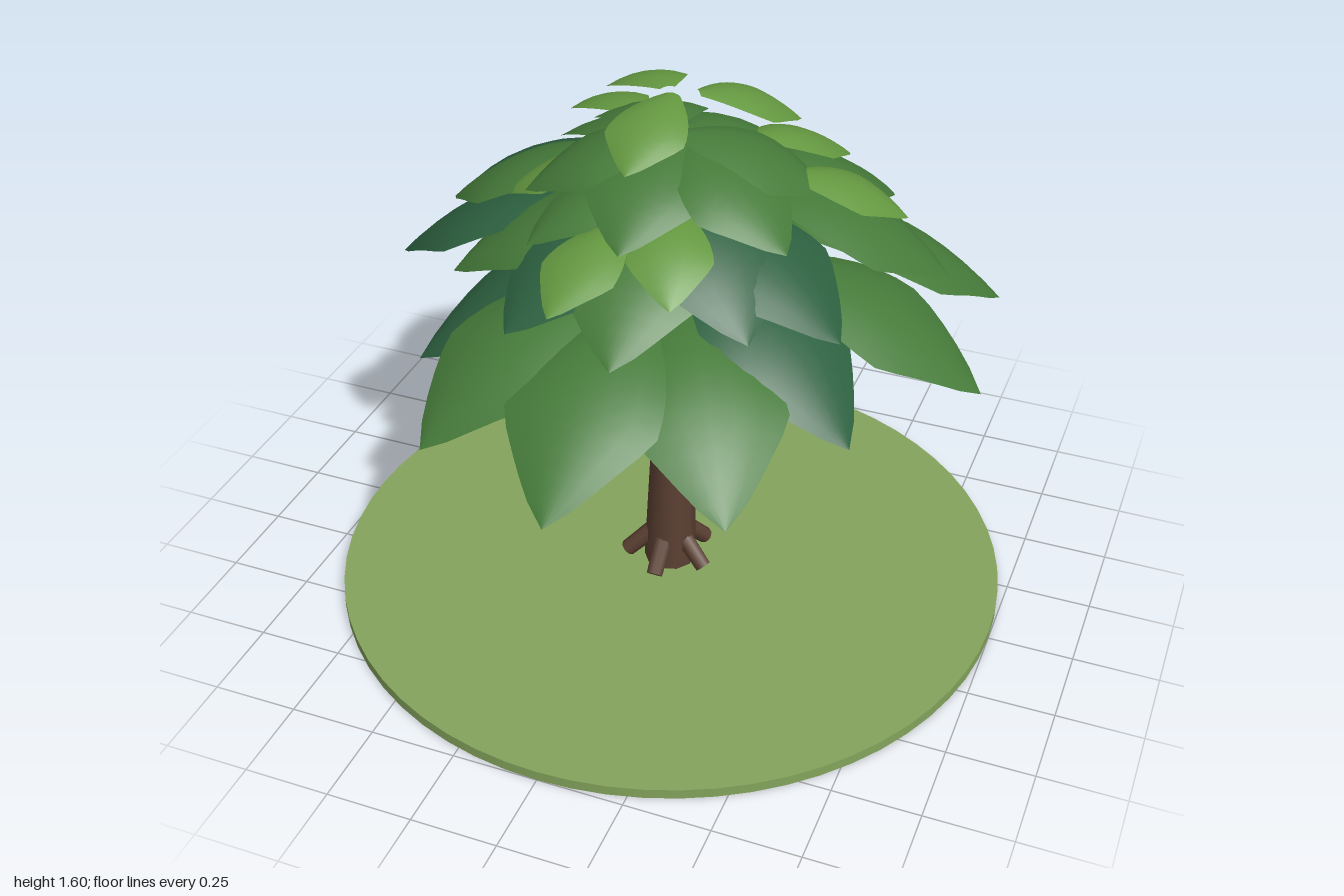
import * as THREE from 'three';

const material = (name, color, side = THREE.FrontSide) =>
  new THREE.MeshStandardMaterial({ name, color, side });

// Grid surface: pointed leaf, arched along its length and drooping at both sides
function leafGeometry(length, halfWidth, drop) {
  const rows = 12, cols = 6, pos = [], index = [];
  const arch = new THREE.QuadraticBezierCurve(
    new THREE.Vector2(0, drop),
    new THREE.Vector2(length * 0.55, drop + length * 0.06),
    new THREE.Vector2(length, 0));
  for (let i = 0; i <= rows; i++) {
    const u = i / rows, p = arch.getPoint(u);
    // round base, widest at 60 %, nearly straight edges to the tip
    const w = halfWidth * (u < 0.6
      ? Math.sin((0.12 + 0.88 * u / 0.6) * Math.PI / 2)
      : Math.pow((1 - u) / 0.4, 0.8));
    for (let j = 0; j <= cols; j++) {
      const v = j / cols * 2 - 1;
      pos.push(v * w, p.y - 0.25 * w * v * v, p.x);
    }
  }
  const n = cols + 1;
  for (let i = 0; i < rows; i++) for (let j = 0; j < cols; j++) {
    const a = i * n + j;
    index.push(a, a + n, a + 1, a + 1, a + n, a + n + 1);
  }
  const g = new THREE.BufferGeometry();
  g.setAttribute('position', new THREE.Float32BufferAttribute(pos, 3));
  g.setIndex(index);
  g.computeVertexNormals();
  return g;
}

// Tapered cylinder between two points
function limb(name, from, to, r0, r1, mat, sides = 8) {
  const a = new THREE.Vector3(...from), b = new THREE.Vector3(...to);
  const dir = b.clone().sub(a);
  const mesh = new THREE.Mesh(new THREE.CylinderGeometry(r1, r0, dir.length(), sides), mat);
  mesh.position.copy(a).add(b).multiplyScalar(0.5);
  mesh.quaternion.setFromUnitVectors(new THREE.Vector3(0, 1, 0), dir.normalize());
  mesh.name = name;
  return mesh;
}

// Leaf tiers from bottom to top; each leaf is [tip x, tip z, tip y, shade]
const D = 0, M = 1, L = 2;
const TIERS = [
  { name: 'skirtLeaf', length: 0.64, half: 0.215, drop: 0.3, leaves: [
    [0, 0.9, 0.78, M], [0.43, 0.73, 0.77, M], [-0.43, 0.73, 0.8, M],
    [0.64, 0.36, 0.83, D], [-0.62, 0.36, 0.82, D], [0.9, -0.02, 0.83, M],
    [0.84, -0.49, 0.86, M], [-0.85, 0, 0.93, D], [-0.79, -0.47, 0.95, D],
    [0.48, -0.78, 0.87, D], [-0.41, -0.73, 0.91, M], [0.05, -0.69, 0.9, M]] },
  { name: 'middleLeaf', length: 0.54, half: 0.2, drop: 0.24, leaves: [
    [-0.71, -0.08, 1.1, M], [0.56, 0.21, 1.05, D], [0.36, 0.38, 1.1, D],
    [-0.57, 0.22, 1.04, M], [-0.28, 0.5, 1.06, D], [0.05, 0.57, 1.06, M],
    [0.75, -0.2, 1.07, M], [0.47, -0.62, 1.07, M], [-0.42, -0.56, 1.13, M],
    [-0.02, -0.66, 1.05, D], [0.02, -0.5, 1.14, D]] },
  { name: 'upperLeaf', length: 0.34, half: 0.115, drop: 0.13, leaves: [
    [-0.13, 0.55, 1.17, L], [0.17, 0.45, 1.2, L], [0.62, -0.2, 1.23, L],
    [-0.42, -0.43, 1.29, L], [-0.46, 0.1, 1.25, L], [0.38, -0.44, 1.27, L],
    [-0.3, 0.3, 1.22, M]] },
  { name: 'crownLeaf', length: 0.42, half: 0.165, drop: 0.17, leaves: [
    [0, 0.38, 1.29, M], [0.4, 0.2, 1.28, M], [-0.37, 0.15, 1.3, M],
    [-0.25, -0.4, 1.3, M], [0.12, -0.44, 1.28, M], [0.42, -0.12, 1.3, M]] },
  { name: 'topLeaf', length: 0.29, half: 0.115, drop: 0.115, leaves: [
    [-0.02, 0.28, 1.47, L], [0.3, -0.21, 1.47, L], [-0.21, -0.24, 1.48, L]] },
];

export function createModel() {
  const tree = new THREE.Group();
  tree.name = 'tree';
  const grass = material('grass green', 0x84a45c);
  const bark = material('bark brown', 0x5c4033);
  const greens = [
    material('dark leaf green', 0x2d6140, THREE.DoubleSide),
    material('mid leaf green', 0x467b3a, THREE.DoubleSide),
    material('light leaf green', 0x649840, THREE.DoubleSide),
  ];

  // Ground disc
  const ground = new THREE.Mesh(new THREE.CylinderGeometry(1, 1, 0.03, 64), grass);
  ground.position.y = 0.015;
  ground.name = 'ground';
  tree.add(ground);

  // Slightly leaning trunk
  tree.add(limb('trunk', [0, 0.035, 0.01], [0.018, 0.69, 0.01], 0.078, 0.06, bark, 10));

  // Five roots and five branches fanned round the trunk
  for (let i = 0; i < 5; i++) {
    const a = Math.PI / 2 + i * Math.PI * 2 / 5;
    const c = Math.cos(a), s = Math.sin(a);
    tree.add(limb('root', [c * 0.04, 0.14, s * 0.04 + 0.01],
      [c * 0.13, 0.05, s * 0.13 + 0.01], 0.028, 0.025, bark));
    tree.add(limb('branch', [0.02 + c * 0.025, 0.62, 0.01 + s * 0.025],
      [0.01 + c * 0.28, 1.12, 0.01 + s * 0.28], 0.036, 0.024, bark));
  }
  // Central leader
  tree.add(limb('leader', [0.018, 0.66, 0.01], [0, 1.3, 0], 0.045, 0.022, bark));

  // Foliage
  for (const { name, length, half, drop, leaves } of TIERS) {
    const geometry = leafGeometry(length, half, drop);
    for (const [x, z, y, shade] of leaves) {
      const leaf = new THREE.Mesh(geometry, greens[shade]);
      const r = Math.hypot(x, z), k = (r - length) / r;
      leaf.position.set(x * k, y, z * k);
      leaf.rotation.y = Math.atan2(x, z);
      leaf.name = name;
      tree.add(leaf);
    }
  }
  return tree;
}
